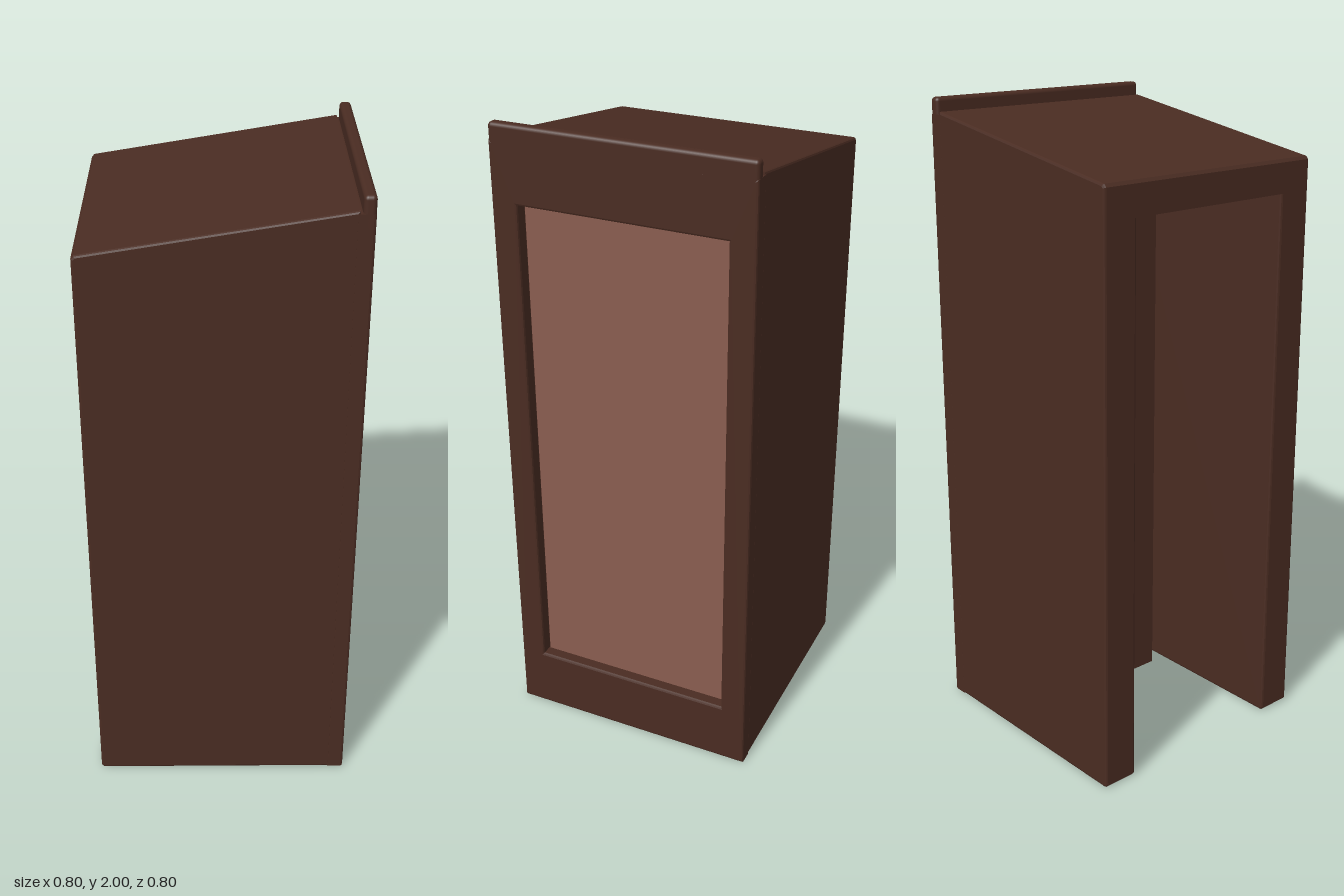
import * as THREE from 'three';
import { RoundedBoxGeometry } from 'three/addons/geometries/RoundedBoxGeometry.js';

const BEVEL = 0.007;

function shapeFrom(points) {
  return new THREE.Shape(points.map(([x, y]) => new THREE.Vector2(x, y)));
}

// Extrude centred on its depth, optionally with softened outer edges
function slab(shape, depth, bevelled) {
  const b = bevelled ? BEVEL : 0;
  const geo = new THREE.ExtrudeGeometry(shape, {
    depth: depth - 2 * b,
    bevelEnabled: bevelled,
    bevelThickness: b,
    bevelSize: b,
    bevelOffset: -b,
    bevelSegments: 2,
  });
  geo.translate(0, 0, -depth / 2 + b);
  return geo;
}

export function createModel() {
  const group = new THREE.Group();
  const darkWood = new THREE.MeshStandardMaterial({ color: 0x4a2c22 });
  darkWood.name = 'darkWood';
  const paleWood = new THREE.MeshStandardMaterial({ color: 0x8a5d50 });
  paleWood.name = 'paleWood';

  const add = (name, geo, mat, x = 0, y = 0, z = 0) => {
    const mesh = new THREE.Mesh(geo, mat);
    mesh.name = name;
    mesh.position.set(x, y, z);
    group.add(mesh);
    return mesh;
  };

  const topY = (x) => 1.835 + (x + 0.4) * 0.163; // sloping reading surface
  const c = 0.008;
  const front = 0.358;
  const wall = 0.115;

  // Side walls with sloping tops
  const wallShape = shapeFrom([
    [-0.4 + c, 0], [front, 0], [front, topY(front)],
    [-0.4 + c, topY(-0.4 + c)], [-0.4, topY(-0.4) - c], [-0.4, c],
  ]);
  for (const side of [-1, 1]) {
    add(side > 0 ? 'sideWallA' : 'sideWallB', slab(wallShape, wall, true), darkWood,
      0, 0, side * (0.4 - wall / 2));
  }

  // Sloping top and deep front block, joined between the walls
  const core = shapeFrom([
    [0.15, 0], [front, 0], [front, topY(front)],
    [-0.4 + c, topY(-0.4 + c)], [-0.4, topY(-0.4) - c],
    [-0.4, topY(-0.4) - 0.1], [0.15, topY(0.15) - 0.1],
  ]);
  add('topAndFrontBlock', slab(core, 0.8 - 2 * wall + 0.02, false), darkWood);

  // Raised backing inside the hollow
  add('innerBacking', new THREE.BoxGeometry(0.07, 1.75, 0.47), darkWood, 0.125, 0.875, 0);

  // Framed face with a window opening
  const frame = shapeFrom([[-0.4, 0], [0.4, 0], [0.4, 1.95], [-0.4, 1.95]]);
  frame.holes.push(new THREE.Path([
    [-0.32, 0.2], [-0.32, 1.77], [0.32, 1.77], [0.32, 0.2],
  ].map(([x, y]) => new THREE.Vector2(x, y))));
  const frameGeo = slab(frame, 0.055, true);
  frameGeo.rotateY(Math.PI / 2);
  add('faceFrame', frameGeo, darkWood, 0.3725);

  // Recessed pale panel
  add('recessedPanel', new THREE.BoxGeometry(0.009, 1.555, 0.63), paleWood, 0.36, 0.98, 0);

  // Rounded lip along the top of the face
  add('topLip', new RoundedBoxGeometry(0.035, 0.1, 0.8, 3, 0.012), darkWood, 0.3825, 1.95, 0);

  return group;
}
